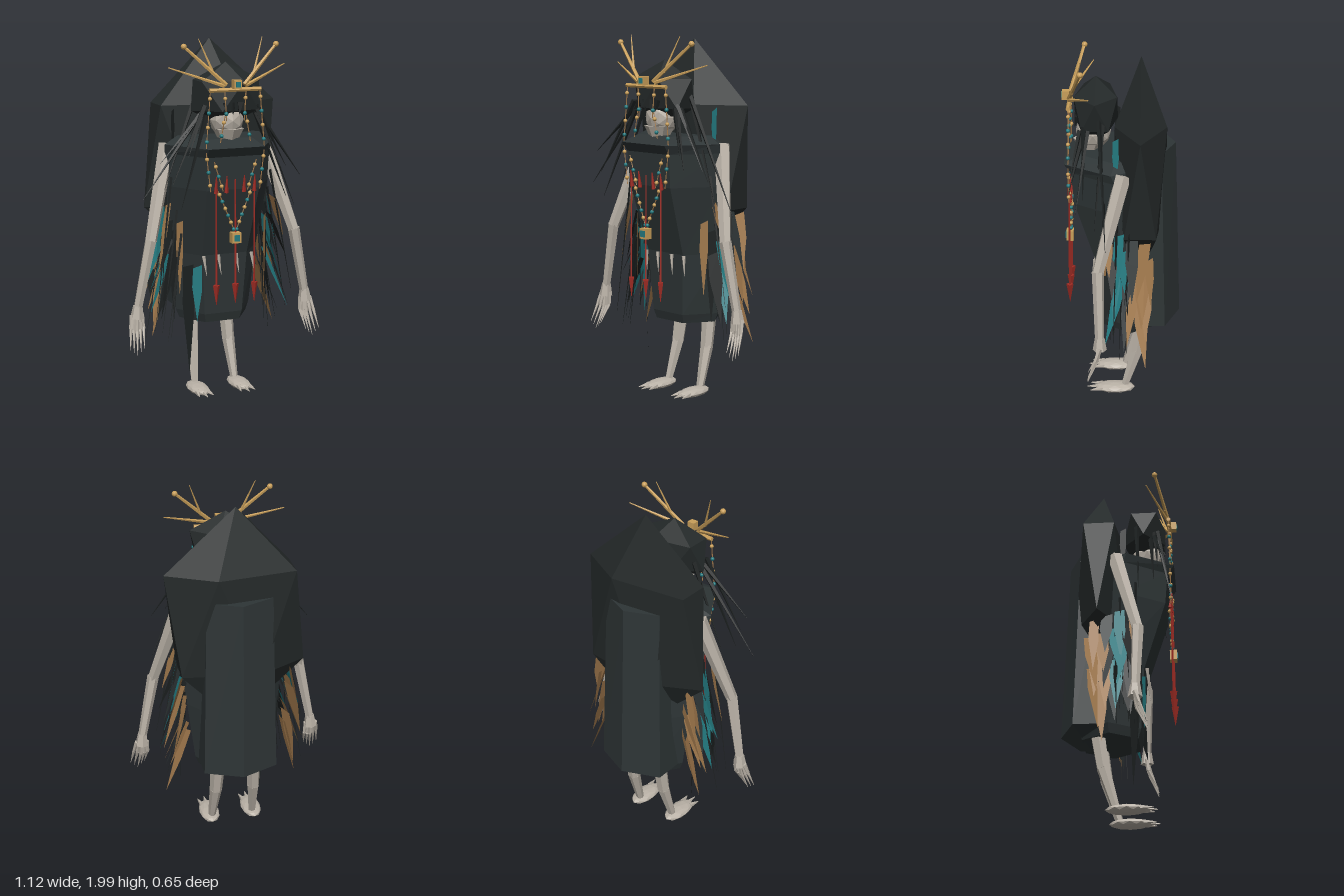
import * as THREE from 'three';

const mat = (color) => new THREE.MeshStandardMaterial({ color, flatShading: true, side: THREE.DoubleSide });
const M = {
  robe: mat(0x2e3536), cloak: mat(0x242929), hair: mat(0x1c2020), bone: mat(0xbab2a7),
  gold: mat(0xc99f5a), teal: mat(0x237a80), tan: mat(0xa0784c), red: mat(0xa02c24),
};
const V = (p) => new THREE.Vector3(...p);

export function createModel() {
  const root = new THREE.Group();
  let seed = 7;
  const rnd = (a, b) => {
    seed = (seed * 16807) % 2147483647;
    return a + (b - a) * (seed / 2147483647);
  };

  const add = (name, geo, material, parent = root) => {
    const m = new THREE.Mesh(geo, material);
    m.name = name;
    parent.add(m);
    return m;
  };
  const group = (name) => {
    const g = new THREE.Group();
    g.name = name;
    root.add(g);
    return g;
  };

  // Tapered rod from point a to point b
  const rod = (name, a, b, r1, r2, material, parent, sides = 5) => {
    const A = V(a), B = V(b), d = B.clone().sub(A);
    const m = add(name, new THREE.CylinderGeometry(r2, r1, d.length(), sides), material, parent);
    m.position.copy(A).add(B).multiplyScalar(0.5);
    m.quaternion.setFromUnitVectors(new THREE.Vector3(0, 1, 0), d.normalize());
    return m;
  };

  const ball = (name, p, r, material, parent) => {
    const m = add(name, new THREE.IcosahedronGeometry(r, 1), material, parent);
    m.position.set(...p);
    return m;
  };

  // Stretched icosahedron standing on a corner, with one upper corner toward +x
  const gem = (name, centre, size, material, parent) => {
    const g = new THREE.IcosahedronGeometry(1, 0);
    g.rotateX(-Math.atan((1 + Math.sqrt(5)) / 2)).rotateY(Math.PI / 2);
    g.scale(...size).translate(...centre);
    return add(name, g, material, parent);
  };

  // Loft through rings [y, halfWidth, zFront, zBack], listed bottom to top, with end caps
  const loft = (name, outline, rings, material) => {
    const n = outline.length, pos = [], idx = [];
    for (const [y, w, zf, zb] of rings) {
      for (const [u, v] of outline) pos.push(u * w, y, (zf + zb) / 2 + (v * (zf - zb)) / 2);
    }
    for (let r = 0; r < rings.length - 1; r++) {
      for (let i = 0; i < n; i++) {
        const a = r * n + i, b = r * n + ((i + 1) % n);
        idx.push(a, b, b + n, a, b + n, a + n);
      }
    }
    const top = (rings.length - 1) * n;
    for (let i = 1; i < n - 1; i++) idx.push(0, i + 1, i, top, top + i, top + i + 1);
    const g = new THREE.BufferGeometry();
    g.setAttribute('position', new THREE.Float32BufferAttribute(pos, 3));
    g.setIndex(idx);
    const flat = g.toNonIndexed();
    flat.computeVertexNormals();
    return add(name, flat, material);
  };
  const hexFlatFront = [[-0.5, 1], [0.5, 1], [1, 0], [0.5, -1], [-0.5, -1], [-1, 0]];
  const hexPointedBack = [[0, 1], [1, 0.5], [1, -0.5], [0, -1], [-1, -0.5], [-1, 0.5]];

  // Flat pointed blade hanging from p, leaning outward
  const blade = (name, p, w, len, yaw, lean, material, parent) => {
    const s = new THREE.Shape([
      new THREE.Vector2(-w * 0.4, 0), new THREE.Vector2(w * 0.5, 0.02),
      new THREE.Vector2(w * 0.5, -len * 0.4), new THREE.Vector2(0, -len), new THREE.Vector2(-w * 0.5, -len * 0.35),
    ]);
    const m = add(name, new THREE.ShapeGeometry(s), material, parent);
    m.position.set(...p);
    m.rotation.set(-lean, yaw, 0, 'YXZ');
    return m;
  };

  // Robe, back drape and hunched cloak
  loft('robe', hexFlatFront, [
    [0.43, 0.2, 0.1, -0.2], [0.48, 0.22, 0.115, -0.22], [0.82, 0.26, 0.135, -0.22],
    [1.2, 0.3, 0.255, -0.2], [1.38, 0.31, 0.27, -0.2], [1.43, 0.315, 0.307, -0.2], [1.47, 0.24, 0.22, -0.15],
  ], M.robe);
  loft('backDrape', hexPointedBack, [
    [0.4, 0.003, -0.152, -0.158], [0.48, 0.205, 0.015, -0.325], [1.5, 0.18, 0.02, -0.288],
  ], M.robe);
  gem('cloak', [0, 1.347, -0.1], [0.43, 0.633, 0.163], M.cloak);

  // Head: hood, skull and jaw
  const head = group('head');
  gem('hood', [0, 1.695, 0.14], [0.22, 0.175, 0.135], M.cloak, head);
  const skull = add('skull', new THREE.IcosahedronGeometry(0.1, 1), M.bone, head);
  skull.position.set(0, 1.565, 0.155);
  skull.scale.set(0.92, 1, 0.95);
  const jaw = add('jaw', new THREE.CylinderGeometry(0.085, 0.05, 0.07, 6), M.bone, head);
  jaw.position.set(0, 1.485, 0.18);
  for (const x of [-0.045, 0, 0.045]) rod('fringe', [x, 1.66, 0.235], [x * 0.8, 1.6, 0.252], 0.022, 0.001, M.hair, head, 4);

  // Hair locks around the face
  const hair = group('hair');
  const locks = [
    [-0.16, 1.6, 0.18, -0.49, 1.17, 0.21], [-0.15, 1.62, 0.2, -0.41, 1.36, 0.25], [-0.15, 1.65, 0.22, -0.35, 1.25, 0.28],
    [-0.14, 1.6, 0.22, -0.31, 1.12, 0.3], [-0.16, 1.68, 0.1, -0.34, 1.2, 0.12], [-0.14, 1.65, 0.2, -0.24, 1.38, 0.22],
    [0.16, 1.62, 0.18, 0.4, 1.25, 0.235], [0.15, 1.6, 0.2, 0.27, 1.3, 0.28], [0.16, 1.66, 0.1, 0.36, 1.12, 0.14],
    [0.15, 1.64, 0.2, 0.33, 1.3, 0.2], [0.16, 1.7, 0.12, 0.44, 1.05, 0.08], [0.15, 1.62, 0.22, 0.23, 1.38, 0.27],
  ];
  for (const [x, y, z, ...tip] of locks) rod('lock', [x, y, z], tip, 0.014, 0.001, M.hair, hair, 4);

  // Crown with mirrored branches
  const crown = group('crown');
  rod('crownBar', [-0.145, 1.735, 0.28], [0.145, 1.735, 0.28], 0.012, 0.012, M.gold, crown, 6);
  const plaque = (name, y, z, size, parent) => {
    add(name, new THREE.BoxGeometry(size, size * 1.1, 0.04), M.gold, parent).position.set(0, y, z);
    add(name + 'Inlay', new THREE.BoxGeometry(size * 0.6, size * 0.65, 0.012), M.teal, parent).position.set(0, y, z + 0.019);
  };
  plaque('crownPlaque', 1.765, 0.3, 0.042, crown);
  for (const s of [-1, 1]) {
    rod('branch', [s * 0.05, 1.76, 0.28], [s * 0.26, 1.96, 0.21], 0.012, 0.008, M.gold, crown);
    ball('branchKnob', [s * 0.26, 1.96, 0.21], 0.016, M.gold, crown);
    rod('branch', [s * 0.06, 1.755, 0.28], [s * 0.33, 1.85, 0.165], 0.011, 0.003, M.gold, crown);
    rod('twig', [s * 0.11, 1.81, 0.26], [s * 0.18, 2.0, 0.21], 0.008, 0.002, M.gold, crown);
  }

  // Bead strings, necklace and pendant
  const beads = group('beads');
  const string = (a, b, count) => {
    rod('thread', a, b, 0.003, 0.003, M.tan, beads, 4);
    for (let i = 0; i < count; i++) {
      const p = V(a).lerp(V(b), (i + 0.5) / count);
      ball('bead', p.toArray(), 0.011, i % 2 ? M.teal : M.gold, beads);
    }
  };
  for (const s of [-1, 1]) {
    string([s * 0.14, 1.73, 0.28], [s * 0.165, 1.43, 0.285], 4);
    string([s * 0.165, 1.41, 0.285], [s * 0.14, 1.2, 0.285], 3);
    string([s * 0.06, 1.73, 0.28], [s * 0.05, 1.57, 0.285], 2);
    string([s * 0.06, 1.6, 0.285], [s * 0.085, 1.46, 0.285], 2);
    string([s * 0.12, 1.36, 0.285], [s * 0.07, 1.2, 0.285], 3);
    string([s * 0.095, 1.2, 0.275], [0, 0.97, 0.285], 6);
    for (const x of [0.05, 0.11]) rod('redBud', [s * x, 1.19, 0.28], [s * x, 1.28, 0.29], 0.012, 0.003, M.red, beads);
  }
  plaque('pendant', 0.945, 0.29, 0.052, beads);

  // Red cords with arrow tips
  const cords = group('cords');
  for (const x of [-0.11, 0, 0.11]) {
    rod('cord', [x, 1.26, 0.285], [x, 0.68, 0.29], 0.004, 0.006, M.red, cords, 4);
    rod('cordTip', [x, 0.69, 0.29], [x, 0.58, 0.29], 0.02, 0.001, M.red, cords, 4);
  }

  // Row of hanging claws on the robe
  for (const x of [-0.13, -0.045, 0.06, 0.15]) {
    rod('claw', [x, 0.82, 0.15], [x + 0.015, 0.71, 0.16], 0.011, 0.001, M.bone, root);
  }

  // Arms, hands, legs and feet, mirrored
  for (const s of [-1, 1]) {
    const arm = group(s > 0 ? 'leftArm' : 'rightArm');
    const P = (x, y, z) => [s * x, y, z];
    rod('upperArm', P(0.28, 1.42, -0.01), P(0.42, 0.92, 0.12), 0.046, 0.032, M.bone, arm, 6);
    rod('forearm', P(0.42, 0.93, 0.12), P(0.5, 0.53, 0.11), 0.033, 0.024, M.bone, arm, 6);
    rod('wrist', P(0.495, 0.57, 0.11), P(0.5, 0.5, 0.11), 0.026, 0.038, M.bone, arm, 6);
    for (let i = 0; i < 5; i++) {
      const k = (i - 2) / 2;
      const knuckle = P(0.505 + k * 0.038, 0.43 + Math.abs(k) * 0.02, 0.125 + k * 0.008);
      rod('palmBone', P(0.5 + k * 0.028, 0.52, 0.11), knuckle, 0.014, 0.01, M.bone, arm);
      rod('finger', knuckle, P(0.52 + k * 0.04, 0.31 + Math.abs(k) * 0.035, 0.175), 0.01, 0.001, M.bone, arm);
    }

    const leg = group(s > 0 ? 'leftLeg' : 'rightLeg');
    rod('thigh', P(0.1, 0.55, -0.13), P(0.11, 0.26, -0.085), 0.045, 0.036, M.bone, leg, 6);
    rod('shin', P(0.11, 0.27, -0.087), P(0.12, 0.05, -0.02), 0.036, 0.022, M.bone, leg, 6);
    const foot = add('foot', new THREE.IcosahedronGeometry(1, 1), M.bone, leg);
    foot.scale.set(0.058, 0.026, 0.115);
    foot.position.set(s * 0.125, 0.032, 0.04);
    for (let i = -1; i <= 1; i++) {
      rod('toe', P(0.125 + i * 0.028, 0.034, 0.11), P(0.125 + i * 0.042, 0.03, 0.2 - Math.abs(i) * 0.02), 0.016, 0.002, M.bone, leg);
    }
  }

  // Feathers down both sides
  const feathers = group('feathers');
  const tints = [M.tan, M.teal, M.tan, M.hair, M.robe];
  for (const s of [-1, 1]) {
    for (let i = 0; i < 18; i++) {
      const z = 0.08 - 0.23 * ((i * 7) % 18) / 17;
      const y = 1.1 - 0.42 * ((i * 5) % 18) / 17;
      blade('feather', [s * (0.22 + 0.08 * y), y, z], rnd(0.045, 0.075), rnd(0.24, 0.38),
        s * rnd(0.9, 1.9), rnd(0.12, 0.45), tints[i % 5], feathers);
    }
    // Feathers near the front corners
    blade('frontFeather', [s * 0.25, 1.0, 0.1], 0.045, 0.4, s * 0.9, 0, M.tan, feathers);
    blade('frontFeather', [s * 0.27, 0.95, 0.06], 0.06, 0.5, s * 0.9, 0, M.hair, feathers);
    blade('upperFeather', [s * 0.26, 1.6, 0.03], 0.035, 0.25, s * 1.4, 0, s > 0 ? M.teal : M.hair, feathers);
    // Loose fine strands
    for (let i = 0; i < 9; i++) {
      const x = rnd(0.24, 0.3), z = rnd(-0.05, 0.12);
      rod('strand', [s * x, rnd(0.85, 1.3), z], [s * (x + rnd(0, 0.14)), rnd(0.3, 0.7), z + 0.02], 0.008, 0.0008, M.hair, feathers, 3);
    }
  }
  blade('frontFeather', [-0.16, 0.75, 0.13], 0.055, 0.3, -0.4, 0.02, M.teal, feathers);
  blade('longFeather', [-0.2, 0.75, 0.09], 0.07, 0.61, -0.8, -0.03, M.hair, feathers);
  blade('shard', [-0.385, 0.72, 0.0], 0.045, 0.14, -0.4, 0, M.hair, feathers);

  return root;
}
